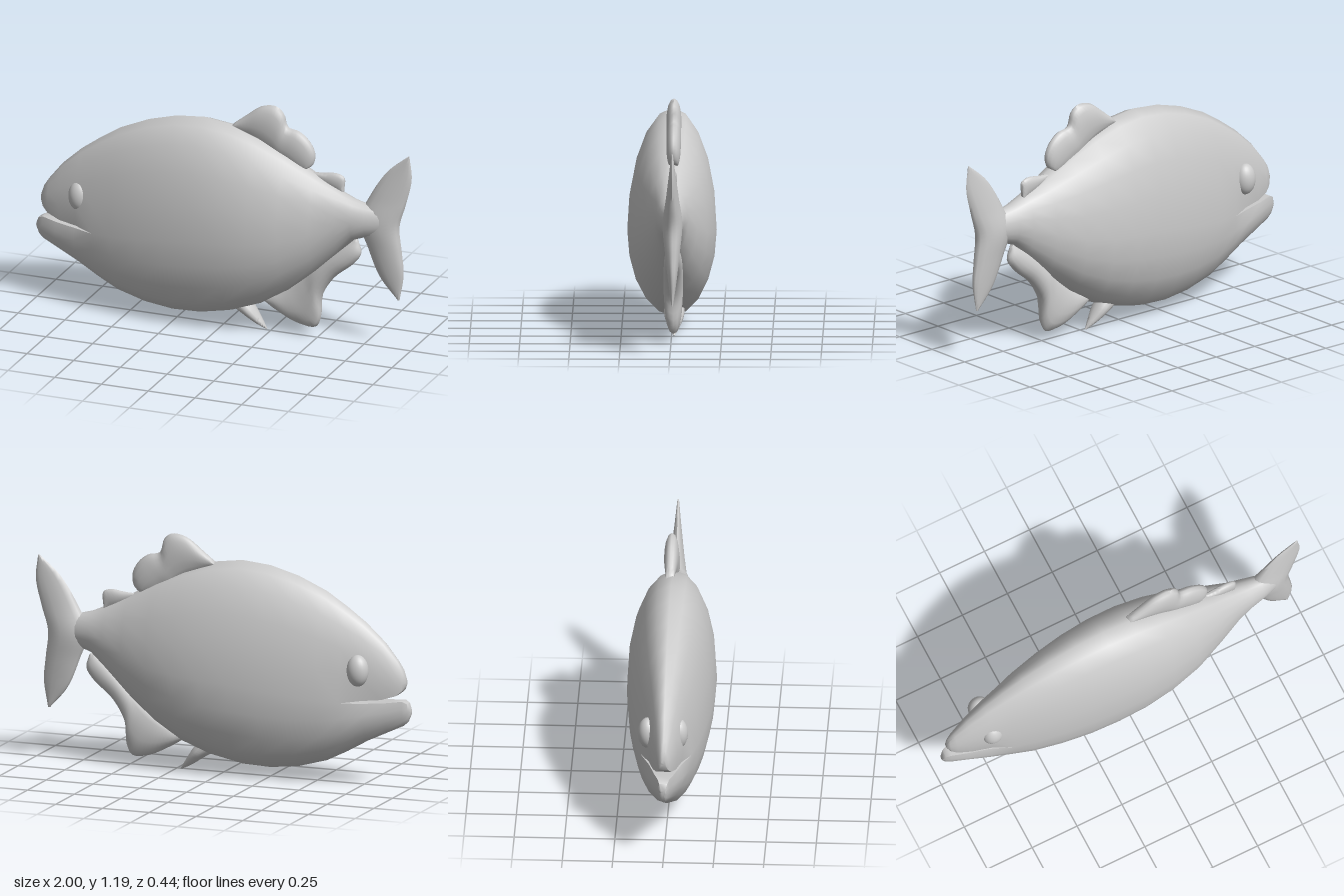
import * as THREE from 'three';
import { mergeGeometries, toCreasedNormals } from 'three/addons/utils/BufferGeometryUtils.js';

const MID = -0.012; // the fins and eyes sit a touch off the centre plane

// Skin a list of equal-length rings. closedRows = how many strips wrap around.
function loft(rings, { flip = false, closedRows = Infinity, caps = false } = {}) {
  const pos = [];
  const tri = (a, b, c) => {
    for (const p of flip ? [a, c, b] : [a, b, c]) pos.push(p.x, p.y, p.z);
  };
  const n = rings[0].length;
  for (let i = 0; i < rings.length - 1; i++) {
    const count = i < closedRows ? n : n - 1;
    for (let j = 0; j < count; j++) {
      const k = (j + 1) % n, r = rings[i], s = rings[i + 1];
      tri(r[j], s[j], r[k]);
      tri(s[j], s[k], r[k]);
    }
  }
  if (caps) {
    const first = rings[0], last = rings[rings.length - 1];
    for (let j = 1; j < n - 1; j++) {
      tri(first[0], first[j], first[j + 1]);
      tri(last[0], last[j + 1], last[j]);
    }
  }
  const g = new THREE.BufferGeometry();
  g.setAttribute('position', new THREE.Float32BufferAttribute(pos, 3));
  return g;
}

// Trunk stations behind the mouth corner: x, back, belly, side line, half width
const TRUNK = [
  [-0.66, 0.90, 0.165, 0.432, 0.125], [-0.55, 0.97, 0.11, 0.44, 0.155],
  [-0.40, 1.035, 0.068, 0.46, 0.185], [-0.25, 1.076, 0.05, 0.48, 0.207],
  [-0.10, 1.09, 0.056, 0.50, 0.219], [0.05, 1.07, 0.088, 0.51, 0.222],
  [0.20, 1.02, 0.145, 0.52, 0.21], [0.35, 0.95, 0.238, 0.54, 0.18],
  [0.50, 0.865, 0.36, 0.59, 0.13], [0.62, 0.803, 0.475, 0.64, 0.088],
  [0.70, 0.768, 0.555, 0.66, 0.072], [0.77, 0.75, 0.58, 0.66, 0.057],
  [0.85, 0.735, 0.60, 0.665, 0.035], [0.92, 0.69, 0.63, 0.66, 0.012],
];
// Jaw stations: x, outer edge, lip height, half width
const UPPER_JAW = [
  [-0.975, 0.56, 0.53, 0.012], [-0.96, 0.605, 0.498, 0.028],
  [-0.93, 0.65, 0.473, 0.045], [-0.86, 0.737, 0.452, 0.07], [-0.76, 0.828, 0.444, 0.1],
];
const LOWER_JAW = [
  [-1.0, 0.375, 0.40, 0.012], [-0.985, 0.34, 0.433, 0.025],
  [-0.96, 0.318, 0.446, 0.036], [-0.88, 0.28, 0.436, 0.062], [-0.77, 0.228, 0.43, 0.096],
];

// Half of the body, from the lips or side line out to the back or belly
function bodyHalf(jaw, edgeColumn, flip) {
  const rows = [...jaw, ...TRUNK.map((r) => [r[0], r[edgeColumn], r[3], r[4]])];
  const N = 10;
  const rings = rows.map(([x, edge, side, w], i) => {
    const ring = [];
    for (let j = 0; j <= N; j++) {
      const a = (Math.PI * j) / N;
      const tuck = i < jaw.length && (j === 0 || j === N) ? 0.82 : 1; // rounded lips
      ring.push(new THREE.Vector3(x, side + (edge - side) * Math.sin(a), w * tuck * Math.cos(a)));
    }
    return ring;
  });
  return loft(rings, { flip, closedRows: jaw.length, caps: true });
}

// Lens-shaped fin spanning two edge curves; a = [x, y, half thickness], b = [x, y]
function finGeometry(a, b, rows = 36, sides = 14) {
  const curve = (pts) => new THREE.CatmullRomCurve3(pts.map(([x, y, t = 0]) => new THREE.Vector3(x, y, t)));
  const ca = curve(a), cb = curve(b), rings = [];
  for (let i = 0; i <= rows; i++) {
    const p = ca.getPoint(i / rows), q = cb.getPoint(i / rows), ring = [];
    for (let j = 0; j < sides; j++) {
      const f = (2 * Math.PI * j) / sides, v = (1 - Math.cos(f)) / 2;
      ring.push(new THREE.Vector3(p.x + (q.x - p.x) * v, p.y + (q.y - p.y) * v, MID + p.z * Math.sin(f)));
    }
    rings.push(ring);
  }
  return loft(rings, { caps: true });
}

const FINS = {
  tailFin: [
    [[0.935, 0.26, 0.004], [0.957, 0.40, 0.022], [0.947, 0.52, 0.038], [0.935, 0.65, 0.05],
      [0.968, 0.77, 0.034], [1.0, 0.91, 0.016], [0.988, 1.03, 0.004]],
    [[0.925, 0.26], [0.83, 0.37], [0.765, 0.52], [0.72, 0.66], [0.775, 0.79], [0.87, 0.935], [0.98, 1.03]],
  ],
  dorsalFin: [
    [[0.04, 1.05, 0.02], [0.16, 1.0, 0.036], [0.28, 0.93, 0.036], [0.36, 0.89, 0.034], [0.43, 0.87, 0.015]],
    [[0.05, 1.075], [0.12, 1.13], [0.20, 1.187], [0.275, 1.196], [0.315, 1.165], [0.337, 1.097],
      [0.40, 1.08], [0.455, 1.035], [0.485, 0.97], [0.47, 0.91], [0.43, 0.89]],
  ],
  rearDorsalFin: [
    [[0.46, 0.86, 0.01], [0.55, 0.81, 0.02], [0.63, 0.78, 0.012]],
    [[0.47, 0.875], [0.53, 0.88], [0.60, 0.887], [0.64, 0.87], [0.638, 0.80]],
  ],
  analFin: [
    [[0.19, 0.17, 0.015], [0.29, 0.11, 0.035], [0.40, 0.06, 0.04], [0.485, 0.055, 0.042], [0.512, 0.10, 0.045],
      [0.52, 0.22, 0.05], [0.585, 0.33, 0.048], [0.69, 0.42, 0.042], [0.73, 0.48, 0.03], [0.715, 0.54, 0.01]],
    [[0.20, 0.18], [0.30, 0.24], [0.40, 0.32], [0.50, 0.41], [0.60, 0.50], [0.70, 0.56]],
  ],
  pelvicFin: [
    [[0.04, 0.11, 0.05], [0.10, 0.075, 0.05], [0.17, 0.03, 0.028], [0.222, 0.005, 0.004]],
    [[0.13, 0.16], [0.16, 0.115], [0.195, 0.06], [0.227, 0.008]],
  ],
};

export function createModel() {
  const fish = new THREE.Group();
  fish.name = 'fish';
  const material = new THREE.MeshStandardMaterial({ color: 0xcccccc });
  const add = (name, geometry) => {
    const mesh = new THREE.Mesh(geometry, material);
    mesh.name = name;
    fish.add(mesh);
    return mesh;
  };

  // Body with parted jaws
  const body = mergeGeometries([bodyHalf(UPPER_JAW, 1, false), bodyHalf(LOWER_JAW, 2, true)]);
  add('body', toCreasedNormals(body, 0.95));

  // Fins
  for (const [name, [a, b]] of Object.entries(FINS)) add(name, toCreasedNormals(finGeometry(a, b), 1.2));

  // Eyes
  for (const side of [1, -1]) {
    const eye = add(side > 0 ? 'frontEye' : 'backEye', new THREE.SphereGeometry(1, 24, 16));
    eye.scale.set(0.056, 0.08, 0.05);
    eye.position.set(-0.748, 0.598, MID + side * 0.075);
  }
  return fish;
}
